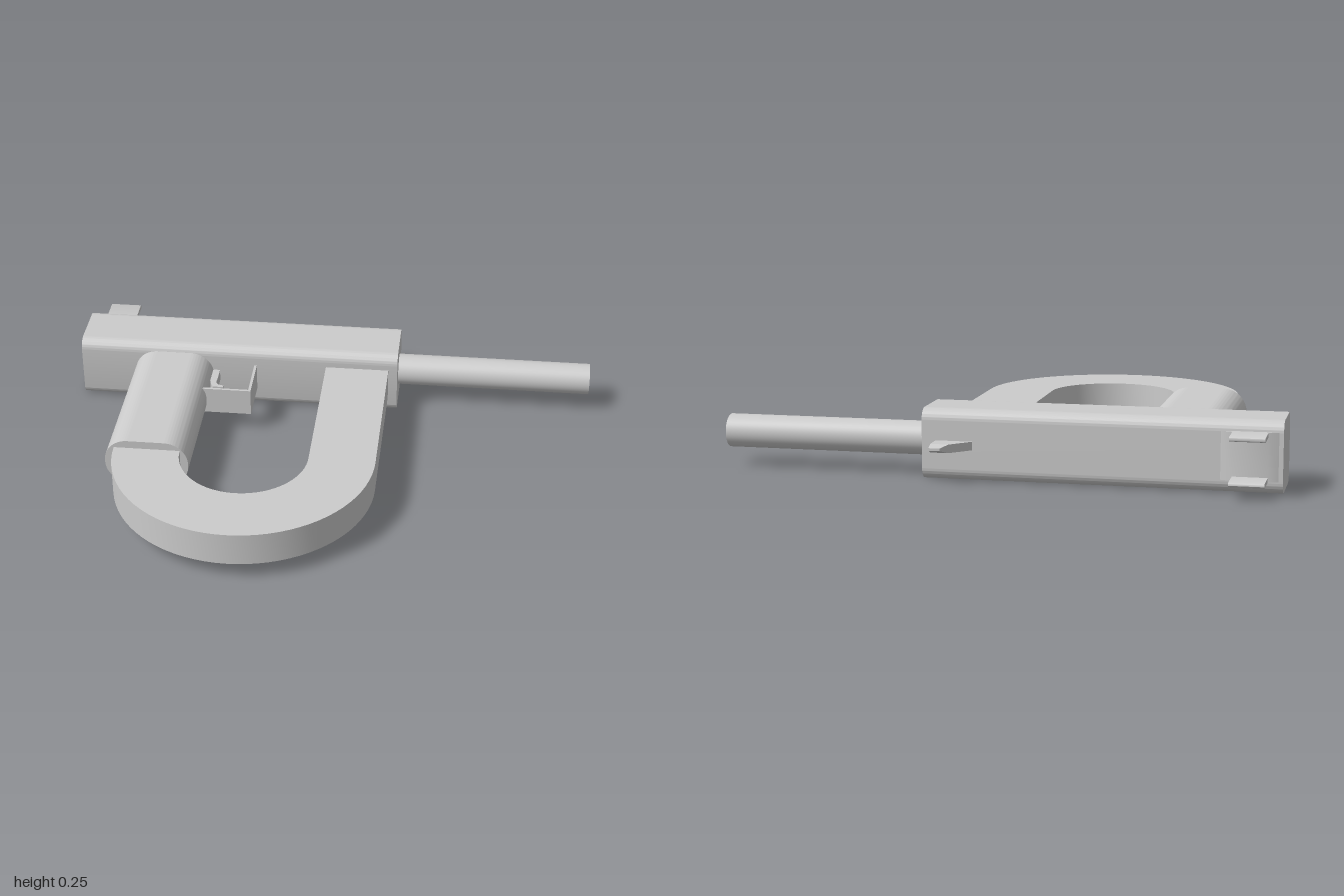
import * as THREE from 'three';
import { toCreasedNormals } from 'three/addons/utils/BufferGeometryUtils.js';

const material = new THREE.MeshStandardMaterial({ color: 0xcccccc });

const polygon = (points) => new THREE.Shape(points.map(([a, b]) => new THREE.Vector2(a, b)));

function roundedRect(cx, cy, w, h, r) {
  const s = new THREE.Shape();
  const x = w / 2 - r, y = h / 2 - r;
  s.absarc(cx + x, cy + y, r, 0, Math.PI / 2);
  s.absarc(cx - x, cy + y, r, Math.PI / 2, Math.PI);
  s.absarc(cx - x, cy - y, r, Math.PI, Math.PI * 1.5);
  s.absarc(cx + x, cy - y, r, Math.PI * 1.5, Math.PI * 2);
  s.closePath();
  return s;
}

const extrude = (shape, depth) =>
  new THREE.ExtrudeGeometry(shape, { depth, bevelEnabled: false, curveSegments: 20 });

// Outline in (x, z), thickness from y0 to y1
const slab = (shape, y0, y1) => extrude(shape, y1 - y0).rotateX(Math.PI / 2).translate(0, y1, 0);

// Outline in (-z, y), length from x0 to x1
const bar = (shape, x0, x1) => extrude(shape, x1 - x0).rotateY(Math.PI / 2).translate(x0, 0, 0);

export function createModel() {
  const model = new THREE.Group();
  const add = (name, geometry, parent = model) => {
    const mesh = new THREE.Mesh(toCreasedNormals(geometry, 0.6), material);
    mesh.name = name;
    parent.add(mesh);
    return mesh;
  };

  // Long body with rounded edges
  add('body', bar(roundedRect(0.4975, 0.125, 0.245, 0.25, 0.04), -1, 0.25));

  // Hollow tube
  const ring = new THREE.Shape().absarc(0.4975, 0.125, 0.06, 0, Math.PI * 2);
  ring.holes.push(new THREE.Path().absarc(0.4975, 0.125, 0.023, 0, Math.PI * 2, true));
  add('barrel', bar(ring, 0.24, 1));

  // U-shaped loop
  const cx = -0.267, cz = 0.25, outer = 0.482, inner = 0.237;
  const loop = new THREE.Shape();
  loop.moveTo(cx + inner, -0.4);
  loop.lineTo(cx + outer, -0.4);
  loop.absarc(cx, cz, outer, 0, Math.PI);
  loop.lineTo(cx - outer, -0.4);
  loop.lineTo(cx - inner, -0.4);
  loop.absarc(cx, cz, inner, Math.PI, 0, true);
  add('curvedLoop', slab(loop, 0.065, 0.19));

  // Grip sleeve around one leg of the loop
  add('grip', extrude(roundedRect(-0.63, 0.1275, 0.31, 0.185, 0.0875), 0.65).translate(0, 0, -0.4));

  // Thin bent guard strip and the hooked lever inside it
  add('triggerGuard', slab(polygon([
    [-0.49, -0.198], [-0.313, -0.198], [-0.313, -0.385], [-0.303, -0.385],
    [-0.303, -0.188], [-0.49, -0.188],
  ]), 0.075, 0.18));
  const hook = new THREE.Shape();
  hook.moveTo(-0.48, -0.385);
  hook.lineTo(-0.45, -0.385);
  hook.lineTo(-0.45, -0.31);
  hook.quadraticCurveTo(-0.458, -0.265, -0.42, -0.265);
  hook.lineTo(-0.42, -0.253);
  hook.lineTo(-0.46, -0.253);
  hook.quadraticCurveTo(-0.478, -0.28, -0.48, -0.32);
  add('trigger', slab(hook, 0.105, 0.15));

  // Rear sight: shallow base and two round-tipped blades
  const rear = new THREE.Group();
  rear.name = 'rearSight';
  model.add(rear);
  add('rearSightBase', slab(polygon([
    [-0.985, -0.61], [-0.985, -0.62], [-0.95, -0.632], [-0.83, -0.632], [-0.79, -0.62], [-0.79, -0.61],
  ]), 0.045, 0.212), rear);
  for (const y of [0.052, 0.205]) {
    add('rearSightBlade', bar(roundedRect(0.67, y, 0.135, 0.016, 0.0075), -0.95, -0.83), rear);
  }

  // Front sight: straight foot and a tip pinched towards its edge
  const front = new THREE.Group();
  front.name = 'frontSight';
  model.add(front);
  add('frontSightFoot', slab(polygon([
    [0.06, -0.61], [0.136, -0.69], [0.2, -0.69], [0.2, -0.61],
  ]), 0.11, 0.14), front);
  const tip = slab(polygon([[0.136, -0.69], [0.16, -0.715], [0.2, -0.715], [0.2, -0.69]]), 0.11, 0.14);
  const p = tip.attributes.position;
  for (let i = 0; i < p.count; i++) {
    if (p.getZ(i) < -0.7) p.setY(i, 0.125 + (p.getY(i) - 0.125) * 0.3);
  }
  add('frontSightTip', tip, front);

  return model;
}
